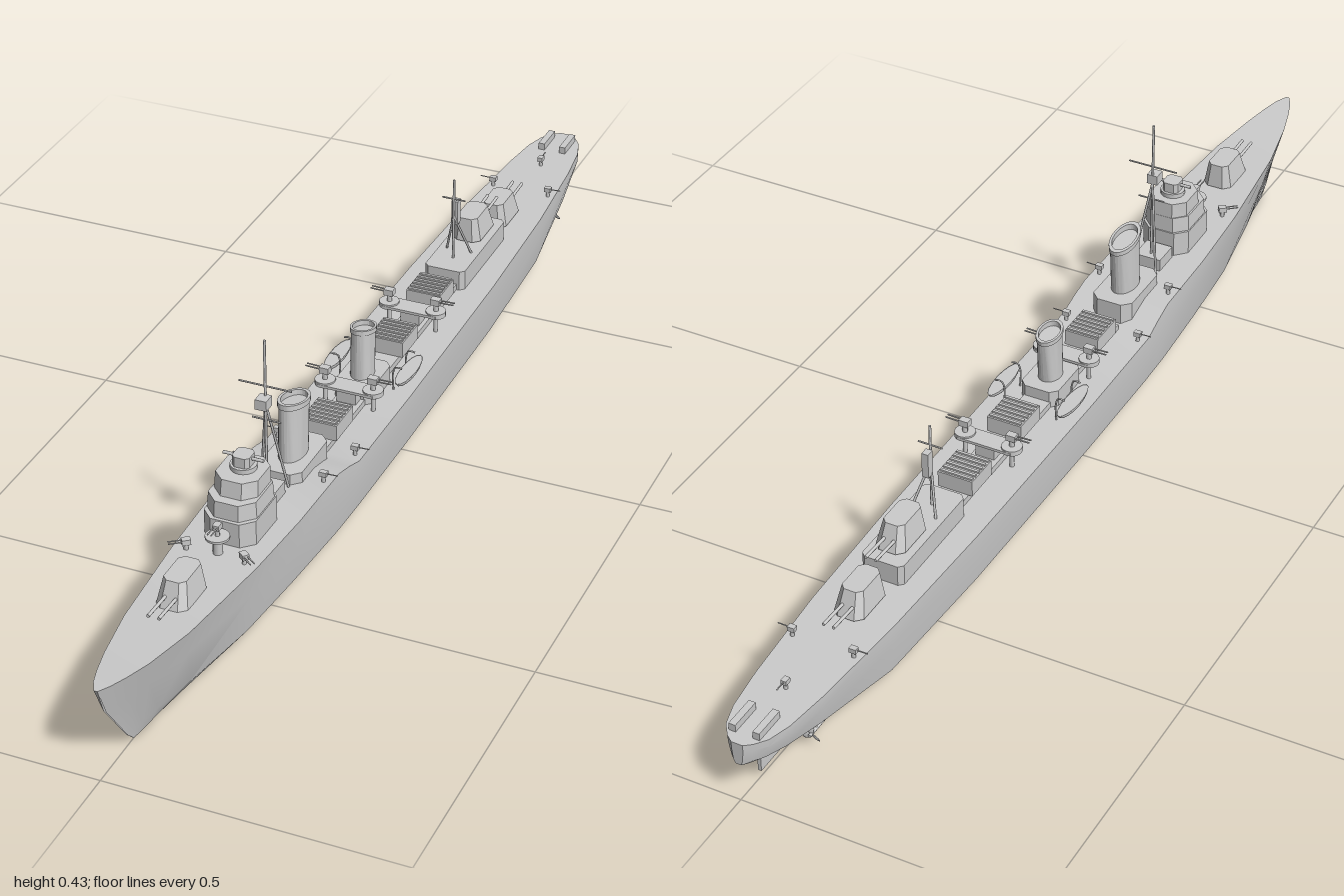
import * as THREE from 'three';
import { toCreasedNormals } from 'three/addons/utils/BufferGeometryUtils.js';

const grey = new THREE.MeshStandardMaterial({ color: 0xcccccc });
const doubleSided = new THREE.MeshStandardMaterial({ color: 0xcccccc, side: THREE.DoubleSide });

function add(parent, name, geo, x = 0, y = 0, z = 0, mat = grey) {
  const mesh = new THREE.Mesh(geo, mat);
  mesh.name = name;
  mesh.position.set(x, y, z);
  parent.add(mesh);
  return mesh;
}

// Box standing on y
const box = (p, name, w, h, d, x, y, z) => add(p, name, new THREE.BoxGeometry(w, h, d), x, y + h / 2, z);

// Upright cylinder standing on y
const drum = (p, name, r, h, x, y, z, sides = 12) =>
  add(p, name, new THREE.CylinderGeometry(r, r, h, sides), x, y + h / 2, z);

// Straight round bar between two points
function rod(p, name, a, b, r, sides = 6) {
  const A = new THREE.Vector3(...a), B = new THREE.Vector3(...b), dir = B.clone().sub(A);
  const mesh = add(p, name, new THREE.CylinderGeometry(r, r, dir.length(), sides));
  mesh.position.copy(A).add(B).multiplyScalar(0.5);
  mesh.quaternion.setFromUnitVectors(new THREE.Vector3(0, 1, 0), dir.normalize());
  return mesh;
}

// Block with chamfered corners; the top shrinks by tx, tz and leans by shift
function house(p, name, w, h, d, y, z, cut = 0.01, tx = 1, tz = 1, shift = 0) {
  const a = w / 2, b = d / 2;
  const shape = new THREE.Shape([
    [-a + cut, -b], [a - cut, -b], [a, -b + cut], [a, b - cut],
    [a - cut, b], [-a + cut, b], [-a, b - cut], [-a, -b + cut]
  ].map(q => new THREE.Vector2(...q)));
  const geo = new THREE.ExtrudeGeometry(shape, { depth: h, bevelEnabled: false }).rotateX(-Math.PI / 2);
  const pos = geo.attributes.position;
  for (let i = 0; i < pos.count; i++) {
    if (pos.getY(i) > h / 2) pos.setXYZ(i, pos.getX(i) * tx, h, pos.getZ(i) * tz + shift);
  }
  geo.computeVertexNormals();
  return add(p, name, geo, 0, y, z);
}

function hull(p) {
  // z, deck half width, deck y, middle half width, chine half width, chine y, keel y
  const stations = [
    [1, 0.003, 0.166, 0.002, 0.001, 0.02, 0], [0.98, 0.014, 0.165, 0.008, 0.004, 0.02, 0],
    [0.95, 0.024, 0.162, 0.016, 0.008, 0.02, 0], [0.9, 0.037, 0.157, 0.027, 0.014, 0.02, 0],
    [0.8, 0.055, 0.151, 0.045, 0.03, 0.02, 0], [0.6, 0.073, 0.143, 0.068, 0.056, 0.02, 0],
    [0.45, 0.08, 0.139, 0.078, 0.068, 0.02, 0], [0.3, 0.082, 0.137, 0.084, 0.077, 0.02, 0],
    [0.26, 0.083, 0.127, 0.084, 0.078, 0.02, 0], [0.22, 0.084, 0.114, 0.085, 0.079, 0.02, 0],
    [0, 0.085, 0.113, 0.085, 0.08, 0.02, 0], [-0.4, 0.082, 0.113, 0.082, 0.077, 0.02, 0],
    [-0.66, 0.074, 0.113, 0.074, 0.068, 0.022, 0.004], [-0.85, 0.06, 0.113, 0.06, 0.052, 0.055, 0.044],
    [-0.93, 0.05, 0.113, 0.05, 0.042, 0.07, 0.06], [-0.97, 0.038, 0.113, 0.037, 0.03, 0.075, 0.068],
    [-0.99, 0.023, 0.113, 0.022, 0.018, 0.078, 0.07], [-1, 0.01, 0.113, 0.01, 0.008, 0.08, 0.072]
  ];
  const pts = [], idx = [], n = 9;
  for (const [z, wd, dy, wm, wc, cy, ky] of stations) {
    const half = [[wd, dy], [wm, cy + (dy - cy) * 0.62], [wc, cy], [wc * 0.62, ky]];
    const ring = [...half, [0, ky], ...half.slice().reverse().map(([x, y]) => [-x, y])];
    for (const [x, y] of ring) {
      // Stem rake grows towards the bow and the keel
      const rake = y > 0.06 ? (dy - y) * 0.45 : 0.05 + (0.06 - y) * 1.0;
      pts.push(x, y, z - rake * Math.max(0, (z - 0.6) / 0.4));
    }
  }
  for (let s = 0; s < stations.length - 1; s++) {
    for (let k = 0; k < n; k++) {
      const a = s * n + k, b = s * n + (k + 1) % n;
      idx.push(a, b, a + n, b, b + n, a + n);
    }
  }
  const last = (stations.length - 1) * n;
  for (let k = 1; k < n - 1; k++) idx.push(0, k + 1, k, last, last + k, last + k + 1);
  const geo = new THREE.BufferGeometry();
  geo.setAttribute('position', new THREE.Float32BufferAttribute(pts, 3));
  geo.setIndex(idx);
  add(p, 'hull', toCreasedNormals(geo, 0.35), 0, 0, 0, doubleSided);
}

// Twin turret; dir is +1 facing the bow, -1 facing the stern
function turret(p, name, y, z, dir) {
  const g = new THREE.Group();
  g.name = name;
  drum(g, 'turretRing', 0.024, 0.006, 0, 0, 0, 20);
  house(g, 'gunHouse', 0.054, 0.044, 0.09, 0.005, 0, 0.012, 0.72, 0.76, -0.006);
  for (const x of [-0.009, 0.009]) rod(g, 'gunBarrel', [x, 0.024, 0.03], [x, 0.027, 0.095], 0.0028, 8);
  g.position.set(0, y, z);
  if (dir < 0) g.rotation.y = Math.PI;
  p.add(g);
}

// Small gun on a pedestal, barrels along local +z
function lightGun(p, name, x, y, z, turn, size = 1, barrels = 2) {
  const g = new THREE.Group();
  g.name = name;
  drum(g, 'pedestal', 0.005, 0.02, 0, 0, 0, 8);
  box(g, 'mount', 0.014, 0.012, 0.018, 0, 0.016, 0);
  for (let i = 0; i < barrels; i++) {
    const bx = (i - (barrels - 1) / 2) * 0.008;
    rod(g, 'barrel', [bx, 0.023, 0], [bx, 0.024, 0.036], 0.0015);
  }
  g.position.set(x, y, z);
  g.rotation.y = turn;
  g.scale.setScalar(size);
  p.add(g);
}

// Oval funnel, hollow at the top and leaning aft
function funnel(p, name, y, z, rx, rz, h, lean) {
  const profile = [[1, 0], [0.98, 0.9], [1.06, 0.91], [1.06, 1], [0.86, 1], [0.86, 0.9], [0, 0.9]];
  const geo = new THREE.LatheGeometry(profile.map(([r, t]) => new THREE.Vector2(r, t * h)), 28);
  geo.scale(rx, 1, rz);
  const pos = geo.attributes.position;
  for (let i = 0; i < pos.count; i++) {
    const t = pos.getY(i) / h;
    pos.setZ(i, pos.getZ(i) * (1 + 0.1 * t) - lean * t);
    pos.setY(i, pos.getY(i) + t * pos.getZ(i) * 0.18);
  }
  add(p, name, toCreasedNormals(geo, 0.6), 0, y, z, doubleSided);
}

// Deck locker with a row of slats across its top
function launcher(p, z, d) {
  drum(p, 'launcherBase', 0.024, 0.013, 0, 0.112, z, 20);
  box(p, 'launcherBody', 0.064, 0.029, d, 0, 0.124, z);
  const n = Math.round(d / 0.012);
  for (let i = 0; i < n; i++) box(p, 'launcherSlat', 0.06, 0.003, 0.005, 0, 0.153, z + ((i + 0.5) / n - 0.5) * d);
}

// Tripod mast
function mast(p, name, z, base, joint, top, yardY, yardHalf) {
  const g = new THREE.Group();
  g.name = name;
  rod(g, 'pole', [0, base, z], [0, top, z], 0.0023);
  for (const s of [-1, 1]) rod(g, 'strut', [s * 0.024, base, z - 0.03], [0, joint, z], 0.0022);
  rod(g, 'yard', [-yardHalf, yardY, z], [yardHalf, yardY, z], 0.0015);
  p.add(g);
  return g;
}

export function createModel() {
  const ship = new THREE.Group();
  ship.name = 'warship';
  hull(ship);

  // Main guns
  turret(ship, 'foreTurret', 0.143, 0.715, 1);
  house(ship, 'aftDeckhouse', 0.076, 0.038, 0.21, 0.112, -0.465, 0.008);
  turret(ship, 'upperAftTurret', 0.15, -0.505, -1);
  turret(ship, 'lowerAftTurret', 0.112, -0.637, -1);

  // Bridge tower
  drum(ship, 'foreGunPlatform', 0.02, 0.004, 0, 0.172, 0.585, 16);
  drum(ship, 'platformColumn', 0.008, 0.035, 0, 0.138, 0.585, 10);
  lightGun(ship, 'foreLightGun', 0, 0.175, 0.585, 0, 0.8);
  house(ship, 'bridgeBase', 0.09, 0.048, 0.118, 0.137, 0.5, 0.02);
  house(ship, 'bridgeMiddle', 0.086, 0.029, 0.11, 0.185, 0.498, 0.022, 0.96, 0.97);
  house(ship, 'bridgeTop', 0.076, 0.029, 0.09, 0.213, 0.49, 0.02, 0.97, 0.93, -0.002);
  drum(ship, 'directorBase', 0.022, 0.01, 0, 0.24, 0.485, 16);
  house(ship, 'director', 0.03, 0.018, 0.032, 0.25, 0.485, 0.006);
  rod(ship, 'rangefinder', [-0.035, 0.262, 0.485], [0.035, 0.262, 0.485], 0.0028, 8);
  for (const s of [-1, 1]) lightGun(ship, 'bridgeLightGun', s * 0.05, 0.14, 0.595, s * 0.9, 0.8);

  // Fore mast
  box(ship, 'mastHouse', 0.05, 0.024, 0.05, 0, 0.137, 0.41);
  const fore = mast(ship, 'foreMast', 0.4, 0.14, 0.31, 0.427, 0.343, 0.046);
  box(fore, 'radarBox', 0.02, 0.018, 0.022, 0, 0.308, 0.408);
  rod(fore, 'lowerYard', [-0.025, 0.278, 0.397], [0.025, 0.278, 0.397], 0.0015);

  // Funnels on their casings
  house(ship, 'foreFunnelCasing', 0.076, 0.045, 0.13, 0.112, 0.297, 0.015);
  funnel(ship, 'foreFunnel', 0.155, 0.297, 0.022, 0.036, 0.105, 0.006);
  house(ship, 'aftFunnelCasing', 0.07, 0.032, 0.1, 0.112, 0.01, 0.012);
  funnel(ship, 'aftFunnel', 0.142, 0.01, 0.02, 0.026, 0.094, 0.004);

  // Launchers along the middle
  launcher(ship, 0.16, 0.07);
  launcher(ship, -0.125, 0.068);
  launcher(ship, -0.295, 0.066);
  box(ship, 'midWalkway', 0.05, 0.012, 0.6, 0, 0.112, -0.08);

  // Raised light gun platforms
  for (const z of [0.068, -0.213]) {
    box(ship, 'gunPlatform', 0.1, 0.005, 0.036, 0, 0.147, z);
    box(ship, 'platformTrunk', 0.035, 0.036, 0.026, 0, 0.112, z);
    for (const s of [-1, 1]) {
      drum(ship, 'gunTub', 0.018, 0.009, s * 0.044, 0.146, z, 16);
      drum(ship, 'tubColumn', 0.004, 0.036, s * 0.044, 0.112, z, 8);
      lightGun(ship, 'lightGun', s * 0.044, 0.152, z, s * Math.PI / 2, 0.95);
    }
  }

  // Aft mast
  const aft = mast(ship, 'aftMast', -0.405, 0.148, 0.235, 0.308, 0.27, 0.022);
  box(aft, 'aftRadar', 0.012, 0.046, 0.015, 0, 0.217, -0.416);

  for (const s of [-1, 1]) {
    // Ship's boats under davits
    const boat = new THREE.SphereGeometry(1, 16, 8, 0, Math.PI * 2, Math.PI / 2, Math.PI / 2);
    add(ship, 'boat', boat.scale(0.014, 0.016, 0.052), s * 0.066, 0.14, -0.036, doubleSided);
    add(ship, 'boatCover', new THREE.CircleGeometry(1, 16).rotateX(-Math.PI / 2).scale(0.014, 1, 0.052), s * 0.066, 0.139, -0.036);
    for (const z of [-0.065, -0.007]) {
      const davit = new THREE.CatmullRomCurve3([[0.05, 0.112], [0.049, 0.145], [0.054, 0.158], [0.066, 0.157]]
        .map(([x, y]) => new THREE.Vector3(s * x, y, z)));
      add(ship, 'davit', new THREE.TubeGeometry(davit, 8, 0.0016, 6));
    }
    // Single guns at the deck edge
    for (const [x, y, z] of [[0.07, 0.113, 0.205], [0.068, 0.137, 0.33], [0.055, 0.112, -0.75]]) {
      lightGun(ship, 'deckEdgeGun', s * x, y, z, s * Math.PI / 2, 0.7, 1);
    }
    // Stern racks
    box(ship, 'sternRack', 0.012, 0.014, 0.058, s * 0.021, 0.112, -0.95);
    // Shafts and propellers
    rod(ship, 'propellerShaft', [s * 0.032, 0.026, -0.64], [s * 0.032, 0.022, -0.852], 0.003, 8);
    rod(ship, 'shaftBracket', [s * 0.032, 0.022, -0.83], [s * 0.022, 0.058, -0.83], 0.0025);
    const prop = new THREE.Group();
    prop.name = 'propeller';
    for (let i = 0; i < 3; i++) {
      const blade = add(prop, 'blade', new THREE.SphereGeometry(1, 8, 6).scale(0.005, 0.009, 0.0015));
      const a = i * Math.PI * 2 / 3;
      blade.position.set(-Math.sin(a) * 0.009, Math.cos(a) * 0.009, 0);
      blade.rotation.set(0, 0.4, a, 'ZYX');
    }
    prop.position.set(s * 0.032, 0.022, -0.846);
    ship.add(prop);
  }

  // Stern fittings and rudder
  lightGun(ship, 'sternGun', 0, 0.112, -0.86, Math.PI, 0.7, 1);
  box(ship, 'rudder', 0.006, 0.055, 0.053, 0, 0.014, -0.918);
  return ship;
}
